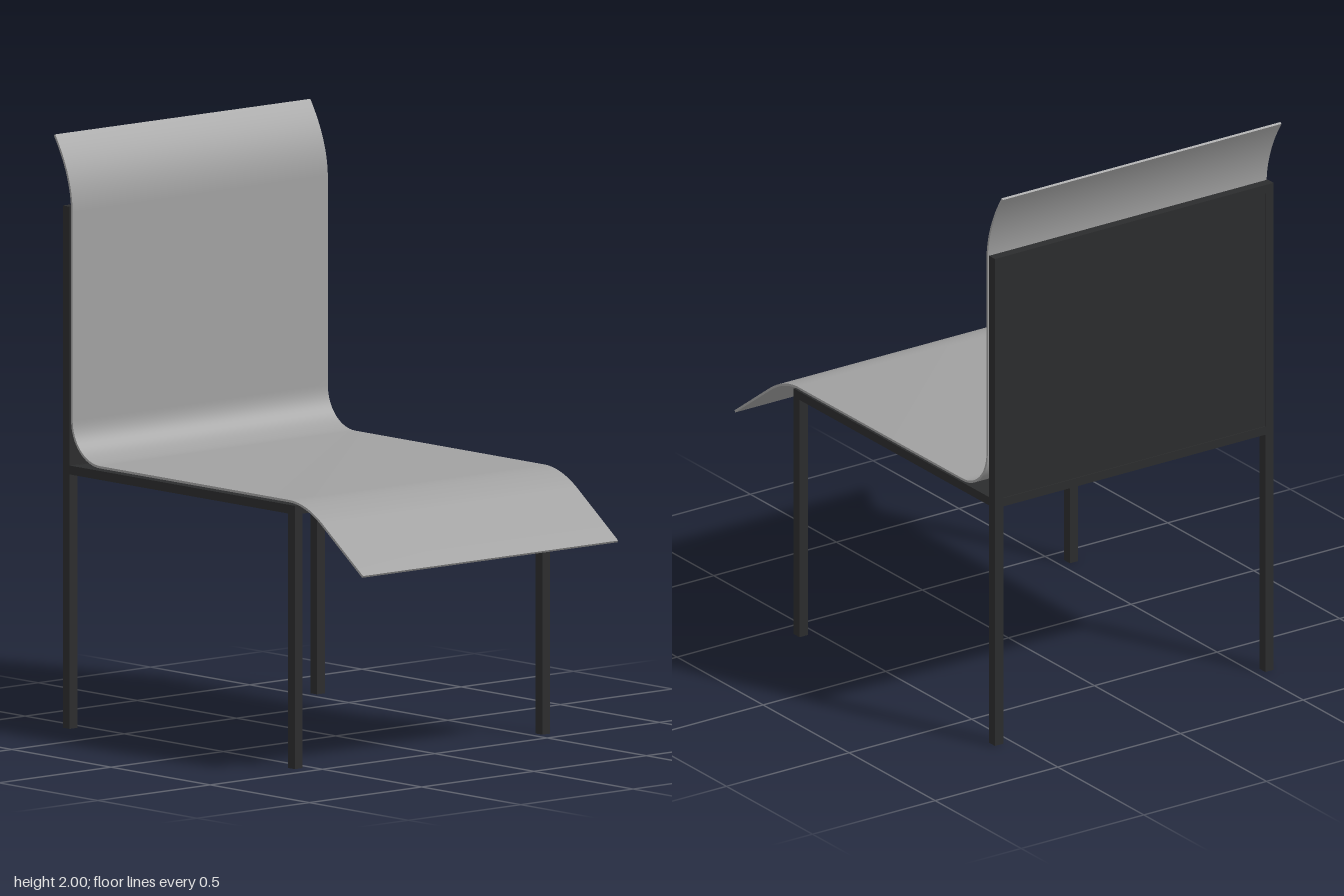
import * as THREE from 'three';
import { toCreasedNormals } from 'three/addons/utils/BufferGeometryUtils.js';

export function createModel() {
  const group = new THREE.Group();
  const frameMat = new THREE.MeshStandardMaterial({ name: 'blackFrame', color: 0x2b2c2d });
  const shellMat = new THREE.MeshStandardMaterial({ name: 'greyShell', color: 0xa0a0a0 });
  const HALF = 0.568, BAR = 0.034;

  // Box given by its minimum and maximum corners
  function box(name, x0, x1, y0, y1, z0, z1) {
    const mesh = new THREE.Mesh(new THREE.BoxGeometry(x1 - x0, y1 - y0, z1 - z0), frameMat);
    mesh.position.set((x0 + x1) / 2, (y0 + y1) / 2, (z0 + z1) / 2);
    mesh.name = name;
    group.add(mesh);
  }

  // Posts, front legs and side rails on both sides
  for (const [side, z0] of [['left', -HALF], ['right', HALF - BAR]]) {
    box(side + 'BackPost', -0.732, -0.698, 0, 1.765, z0, z0 + BAR);
    box(side + 'FrontLeg', 0.404, 0.438, 0, 0.89, z0, z0 + BAR);
    box(side + 'SeatRail', -0.698, 0.404, 0.86, 0.89, z0, z0 + BAR);
  }

  // Cross rails between the sides
  const inner = HALF - BAR;
  box('frontRail', 0.404, 0.438, 0.86, 0.89, -inner, inner);
  box('topRail', -0.732, -0.698, 1.735, 1.765, -inner, inner);
  box('backRail', -0.732, -0.698, 0.86, 0.89, -inner, inner);

  // Infill panels, set in very slightly from the rails
  box('seatPanel', -0.698, 0.404, 0.863, 0.888, -inner, inner);
  box('backPanel', -0.729, -0.7, 0.89, 1.735, -inner, inner);

  // Centre line of the bent shell, from the head roll to the front lip
  const v = (x, y) => new THREE.Vector2(x, y);
  const bend = (a, b, c) => new THREE.QuadraticBezierCurve(a, b, c).getPoints(16);
  const corner = [];
  for (let i = 0; i <= 16; i++) {
    const t = Math.PI + (i / 16) * Math.PI / 2;
    corner.push(v(-0.547 + 0.142 * Math.cos(t), 1.044 + 0.142 * Math.sin(t)));
  }
  const line = [
    ...bend(v(-0.777, 1.998), v(-0.692, 1.87), v(-0.689, 1.75)),
    ...corner,
    ...bend(v(0.41, 0.902), v(0.495, 0.9), v(0.58, 0.836)),
    v(0.777, 0.69),
  ];

  // Thicken the line both ways and extrude it across the width
  const upper = [], lower = [];
  line.forEach((p, i) => {
    const a = line[Math.max(i - 1, 0)], b = line[Math.min(i + 1, line.length - 1)];
    const d = b.clone().sub(a).normalize().multiplyScalar(0.004);
    upper.push(v(p.x - d.y, p.y + d.x));
    lower.push(v(p.x + d.y, p.y - d.x));
  });
  const outline = new THREE.Shape([...upper, ...lower.reverse()]);
  const shellGeo = new THREE.ExtrudeGeometry(outline, { depth: 2 * HALF, bevelEnabled: false });
  shellGeo.translate(0, 0, -HALF - 0.002);
  const shell = new THREE.Mesh(toCreasedNormals(shellGeo, Math.PI / 6), shellMat);
  shell.name = 'bentSeatShell';
  group.add(shell);

  return group;
}
